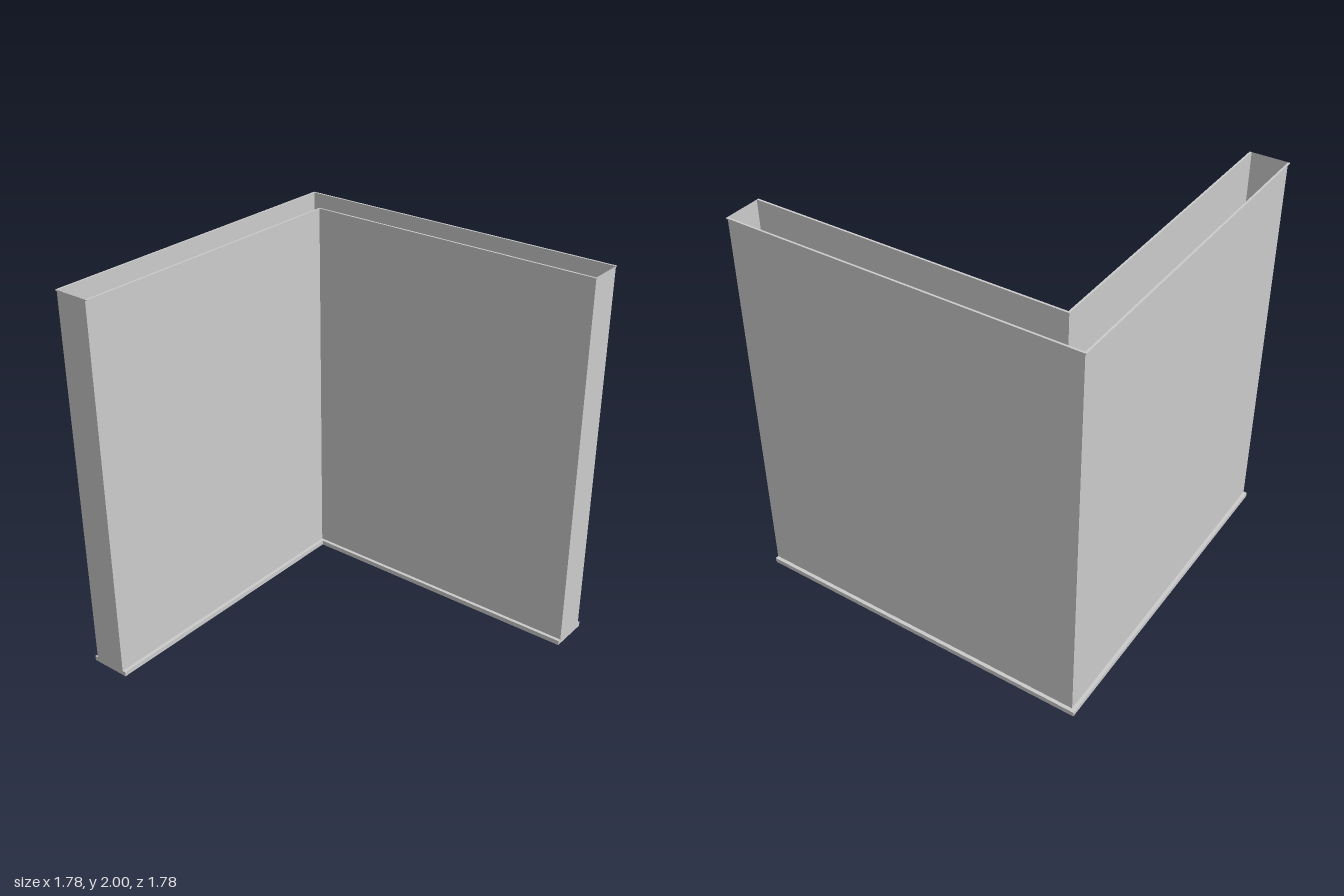
import * as THREE from 'three';

const HEIGHT = 2;
const END = 0.888;    // open ends of both wings
const OUTER = -0.87;  // outer wall face
const INNER = -0.69;  // inner wall face

export function createModel() {
  const group = new THREE.Group();
  const material = new THREE.MeshStandardMaterial({ color: 0xcccccc, side: THREE.DoubleSide });

  function add(name, geometry) {
    const mesh = new THREE.Mesh(geometry, material);
    mesh.name = name;
    group.add(mesh);
    return mesh;
  }

  // Thin wall panels around the L-shaped footprint, open at top and bottom
  const corners = [
    ['backOuterWall', END, OUTER],
    ['sideOuterWall', OUTER, OUTER],
    ['sideEndCap', OUTER, END],
    ['sideInnerWall', INNER, END],
    ['backInnerWall', INNER, INNER],
    ['backEndCap', END, INNER],
  ];
  corners.forEach(([name, x0, z0], i) => {
    const [, x1, z1] = corners[(i + 1) % corners.length];
    const dx = x1 - x0, dz = z1 - z0;
    const panel = add(name, new THREE.PlaneGeometry(Math.hypot(dx, dz), HEIGHT));
    panel.rotation.y = Math.atan2(-dz, dx);
    panel.position.set((x0 + x1) / 2, HEIGHT / 2, (z0 + z1) / 2);
  });

  // L-shaped trim strip between offsets a and b, from y0 up to y1
  function addTrim(name, a, b, y0, y1) {
    const shape = new THREE.Shape([
      [a, a], [END, a], [END, b], [b, b], [b, END], [a, END],
    ].map(([x, z]) => new THREE.Vector2(x, z)));
    const geometry = new THREE.ExtrudeGeometry(shape, { depth: y1 - y0, bevelEnabled: false });
    geometry.rotateX(Math.PI / 2);
    geometry.translate(0, y1, 0);
    add(name, geometry);
  }

  // Skirting at the foot and a slim lip along the top edge
  addTrim('outerSkirting', OUTER - 0.018, OUTER, 0, 0.025);
  addTrim('innerSkirting', INNER, INNER + 0.018, 0, 0.025);
  addTrim('outerTopLip', OUTER - 0.01, OUTER, HEIGHT - 0.005, HEIGHT);
  addTrim('innerTopLip', INNER, INNER + 0.01, HEIGHT - 0.005, HEIGHT);

  return group;
}
